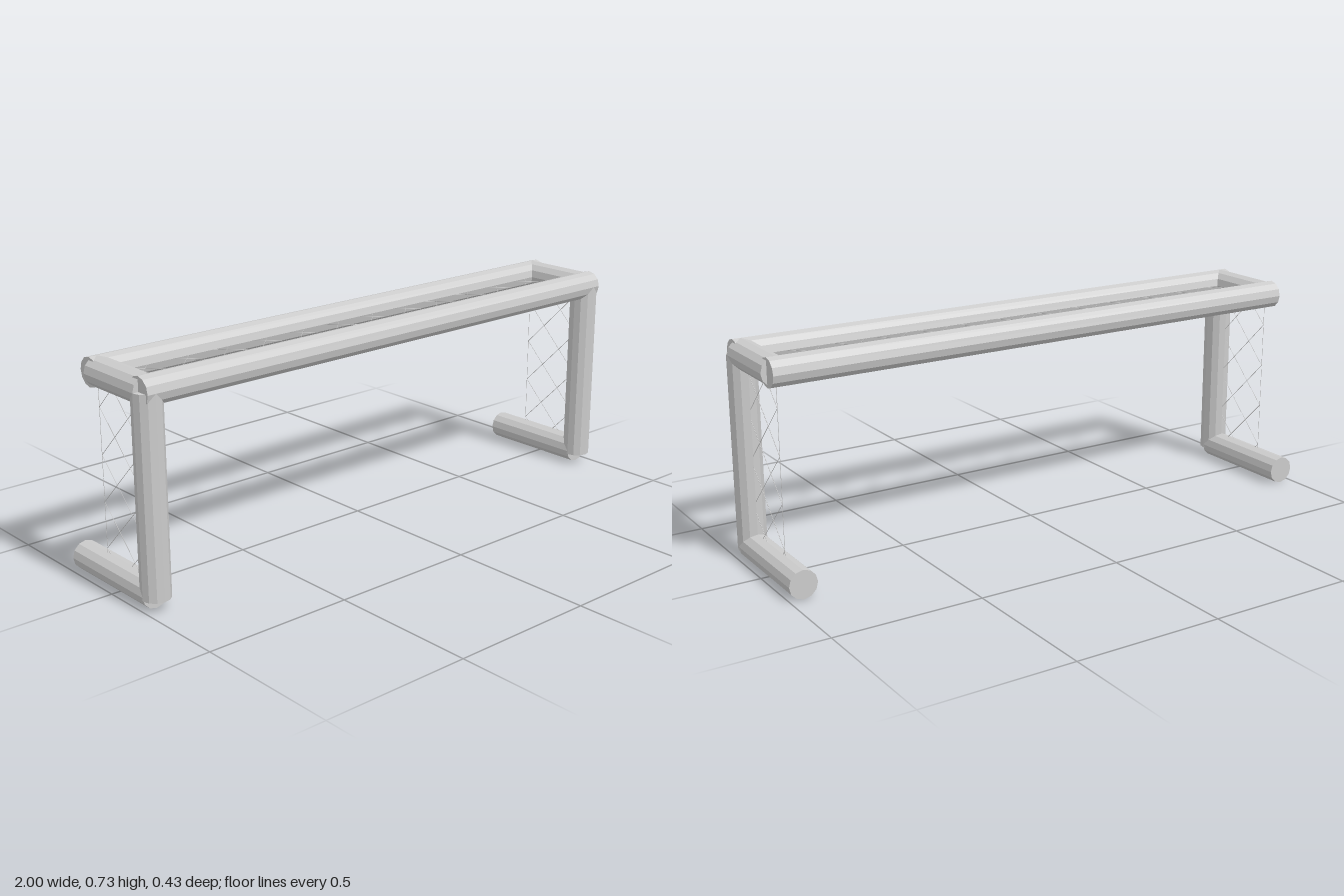
import * as THREE from 'three';

const R = 0.0475, X = 0.9525, TOP = 0.68, FRONT = 0.17, BACK = -0.087;

export function createModel() {
  const model = new THREE.Group();
  model.name = 'goalFrame';
  const pipeMat = new THREE.MeshStandardMaterial({ color: 0xcccccc, flatShading: true });
  const netMat = new THREE.MeshStandardMaterial({ color: 0xcccccc, side: THREE.DoubleSide });
  const up = new THREE.Vector3(0, 1, 0);

  // Straight rod from a to b
  function rod(name, a, b, radius, sides, mat, parent) {
    const start = new THREE.Vector3(...a), end = new THREE.Vector3(...b);
    const dir = end.clone().sub(start), length = dir.length();
    const mesh = new THREE.Mesh(new THREE.CylinderGeometry(radius, radius, length, sides), mat);
    mesh.name = name;
    mesh.position.copy(start).add(end).multiplyScalar(0.5);
    mesh.quaternion.setFromUnitVectors(up, dir.normalize());
    parent.add(mesh);
  }
  const pipe = (name, a, b) => rod(name, a, b, R, 12, pipeMat, model);

  // Diagonal cords clipped to a rectangle; place(u, v) maps it into space
  function net(name, u0, u1, v0, v1, nodeU, nodeV, place) {
    const group = new THREE.Group();
    group.name = name;
    const step = 0.152;
    for (const s of [1, -1]) {
      // Each cord follows v = c + s * u
      const c0 = nodeV - s * nodeU;
      for (let k = -30; k <= 30; k++) {
        const c = c0 + k * step;
        const hits = [(v0 - c) * s, (v1 - c) * s].sort((p, q) => p - q);
        const a = Math.max(u0, hits[0]), b = Math.min(u1, hits[1]);
        if (b - a > 0.005) rod('netCord', place(a, c + s * a), place(b, c + s * b), 0.001, 4, netMat, group);
      }
    }
    model.add(group);
    return group;
  }

  // Crossbars
  pipe('frontCrossbar', [-0.98, TOP, FRONT], [0.98, TOP, FRONT]);
  pipe('backCrossbar', [-0.98, TOP, BACK], [0.98, TOP, BACK]);

  // Posts, top side bars, feet and side nets
  for (const [side, s] of [['left', 1], ['right', -1]]) {
    const x = s * X;
    pipe(side + 'Post', [x, 0.036, FRONT], [x, TOP, FRONT]);
    pipe(side + 'TopBar', [x, TOP, FRONT], [x, TOP, BACK]);
    pipe(side + 'Foot', [x, R, FRONT], [x, R, -0.216]);
    const panel = net(side + 'Net', BACK, FRONT, R, TOP, BACK, 0.567, (z, y) => [x, y, z]);
    rod('netEdge', [x, R, BACK], [x, TOP, BACK], 0.0008, 4, netMat, panel);
  }

  // Net between the crossbars
  net('topNet', -X, X, BACK, FRONT, 0, BACK, (x, z) => [x, TOP, z]);
  return model;
}
